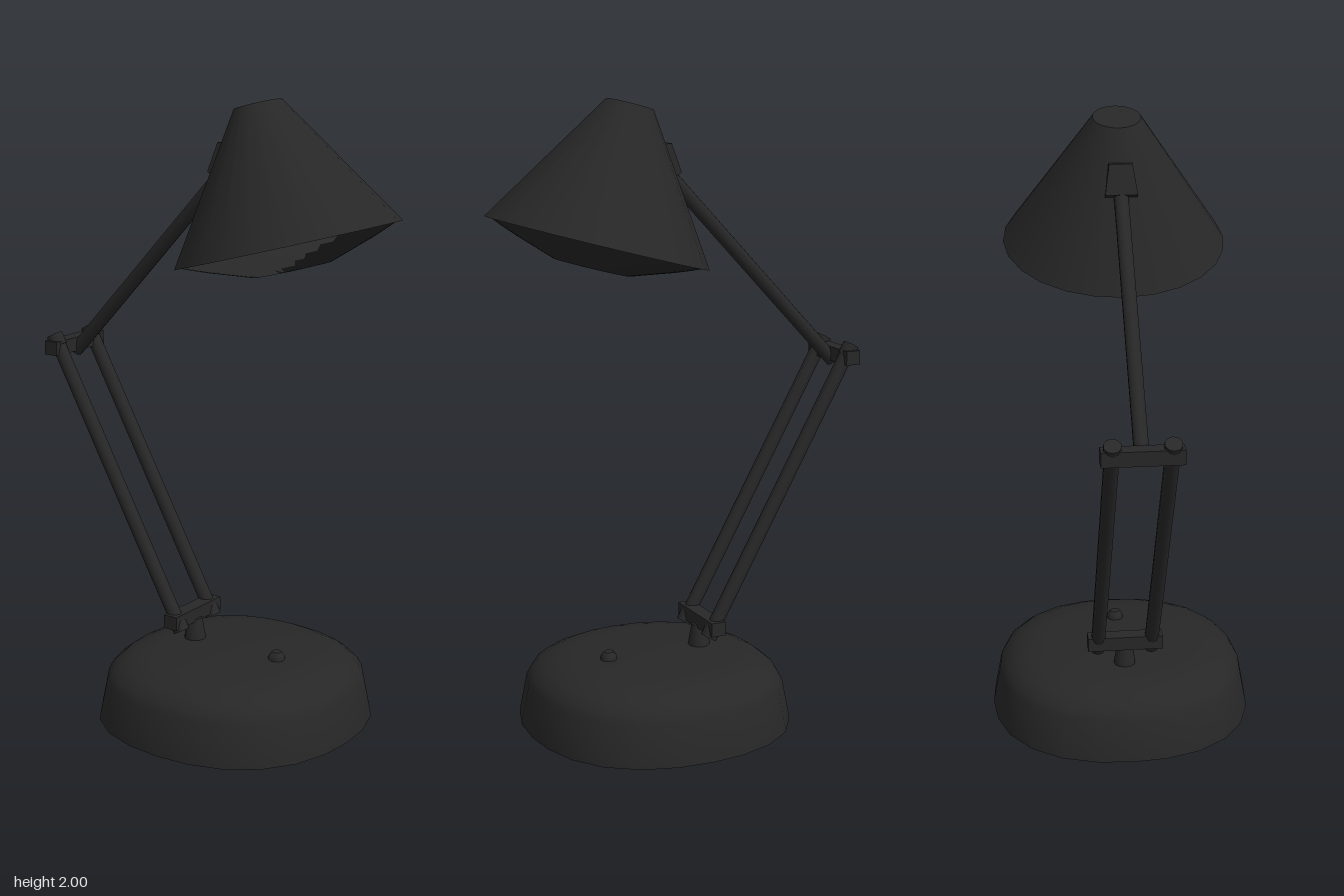
import * as THREE from 'three';
import { toCreasedNormals } from 'three/addons/utils/BufferGeometryUtils.js';

export function createModel() {
  const lamp = new THREE.Group();
  lamp.name = 'deskLamp';
  const makeMaterial = (name, color) => {
    const material = new THREE.MeshStandardMaterial({ color, side: THREE.DoubleSide });
    material.name = name;
    return material;
  };
  const black = makeMaterial('matte black', 0x272727);
  const grey = makeMaterial('lens grey', 0x585858);

  const add = (parent, name, geometry, x, y, z, material = black) => {
    const mesh = new THREE.Mesh(geometry, material);
    mesh.name = name;
    mesh.position.set(x, y, z);
    parent.add(mesh);
    return mesh;
  };
  const profile = (points) => points.map(([r, y]) => new THREE.Vector2(r, y));
  const lathe = (points, sides) => toCreasedNormals(new THREE.LatheGeometry(profile(points), sides), 0.7);

  // A group whose y axis runs along a line in the y-z plane, with its origin at the start
  const along = (name, [z0, y0], [z1, y1]) => {
    const group = new THREE.Group();
    group.name = name;
    group.position.set(0, y0, z0);
    group.rotation.x = Math.atan2(z1 - z0, y1 - y0);
    group.userData.length = Math.hypot(z1 - z0, y1 - y0);
    lamp.add(group);
    return group;
  };

  // Base: rounded shoulder, outline slightly fuller on the diagonals
  const baseGeo = new THREE.LatheGeometry(profile([
    [0, 0], [0.43, 0], [0.427, 0.02], [0.405, 0.135], [0.39, 0.162], [0.36, 0.187],
    [0.315, 0.208], [0.25, 0.219], [0, 0.221],
  ]), 24);
  const bp = baseGeo.attributes.position;
  for (let i = 0; i < bp.count; i++) {
    const x = bp.getX(i), z = bp.getZ(i);
    const k = 1 + 0.045 * Math.sin(2 * Math.atan2(z, x)) ** 2;
    bp.setXYZ(i, x * k, bp.getY(i), z * k);
  }
  add(lamp, 'base', toCreasedNormals(baseGeo, 0.7), 0, 0, 0.085);

  // Arm post and switch
  add(lamp, 'armPost', lathe([[0.036, 0], [0.034, 0.02], [0.024, 0.075], [0, 0.08]], 12), 0, 0.215, -0.08);
  add(lamp, 'switchButton', lathe([[0.028, 0], [0.026, 0.015], [0.016, 0.028], [0, 0.03]], 10), 0, 0.217, 0.245);

  // Lower arm: two rods with end caps, joined by two level crossbars
  const lower = along('lowerArm', [-0.075, 0.28], [-0.584, 1.187]);
  const len = lower.userData.length;
  for (const side of [-1, 1]) {
    add(lower, 'lowerRod', new THREE.CylinderGeometry(0.023, 0.023, len, 10), side * 0.088, len / 2, 0);
    for (const y of [0.01, len - 0.01]) {
      add(lower, 'rodCap', new THREE.CylinderGeometry(0.027, 0.027, 0.04, 10), side * 0.088, y, 0);
    }
  }
  for (const [y, z] of [[0.305, -0.09], [1.157, -0.577]]) {
    add(lamp, 'crossbar', new THREE.BoxGeometry(0.245, 0.046, 0.05), 0, y, z);
  }

  // Upper arm
  const upper = along('upperArm', [-0.57, 1.132], [0.035, 1.77]);
  const upLen = upper.userData.length;
  add(upper, 'upperRod', new THREE.CylinderGeometry(0.023, 0.023, upLen, 10), 0, upLen / 2, 0);

  // Tapered bracket on the back of the shade
  const bracketGeo = new THREE.BoxGeometry(0.1, 0.11, 0.036);
  const p = bracketGeo.attributes.position;
  for (let i = 0; i < p.count; i++) {
    if (p.getY(i) > 0) p.setX(i, p.getX(i) * 0.72);
    if (p.getZ(i) < 0) p.setY(i, p.getY(i) * 0.85);
  }
  bracketGeo.computeVertexNormals();
  add(lamp, 'shadeBracket', bracketGeo, 0, 1.812, 0.039).rotation.x = 0.305;

  // Shade: open cone with closed top
  const head = along('head', [0.272, 1.565], [0.159, 1.981]);
  const top = head.userData.length;
  add(head, 'shade', lathe([[0.354, 0], [0.075, top], [0, top]], 24), 0, 0, 0);

  // Shallow domed lens in the mouth, with a lighter segment on its right side
  const lensGeo = lathe([
    [0, -0.08], [0.12, -0.076], [0.165, -0.061], [0.21, -0.046], [0.255, -0.031], [0.3, -0.014], [0.342, 0.004],
  ], 48);
  const lp = lensGeo.attributes.position;
  for (let i = 0; i < lp.count; i += 3) {
    const x = (lp.getX(i) + lp.getX(i + 1) + lp.getX(i + 2)) / 3;
    const z = (lp.getZ(i) + lp.getZ(i + 1) + lp.getZ(i + 2)) / 3;
    lensGeo.addGroup(i, 3, x < -0.122 - 0.19 * z ? 1 : 0);
  }
  add(head, 'lens', lensGeo, 0, 0, 0, [black, grey]);

  return lamp;
}
